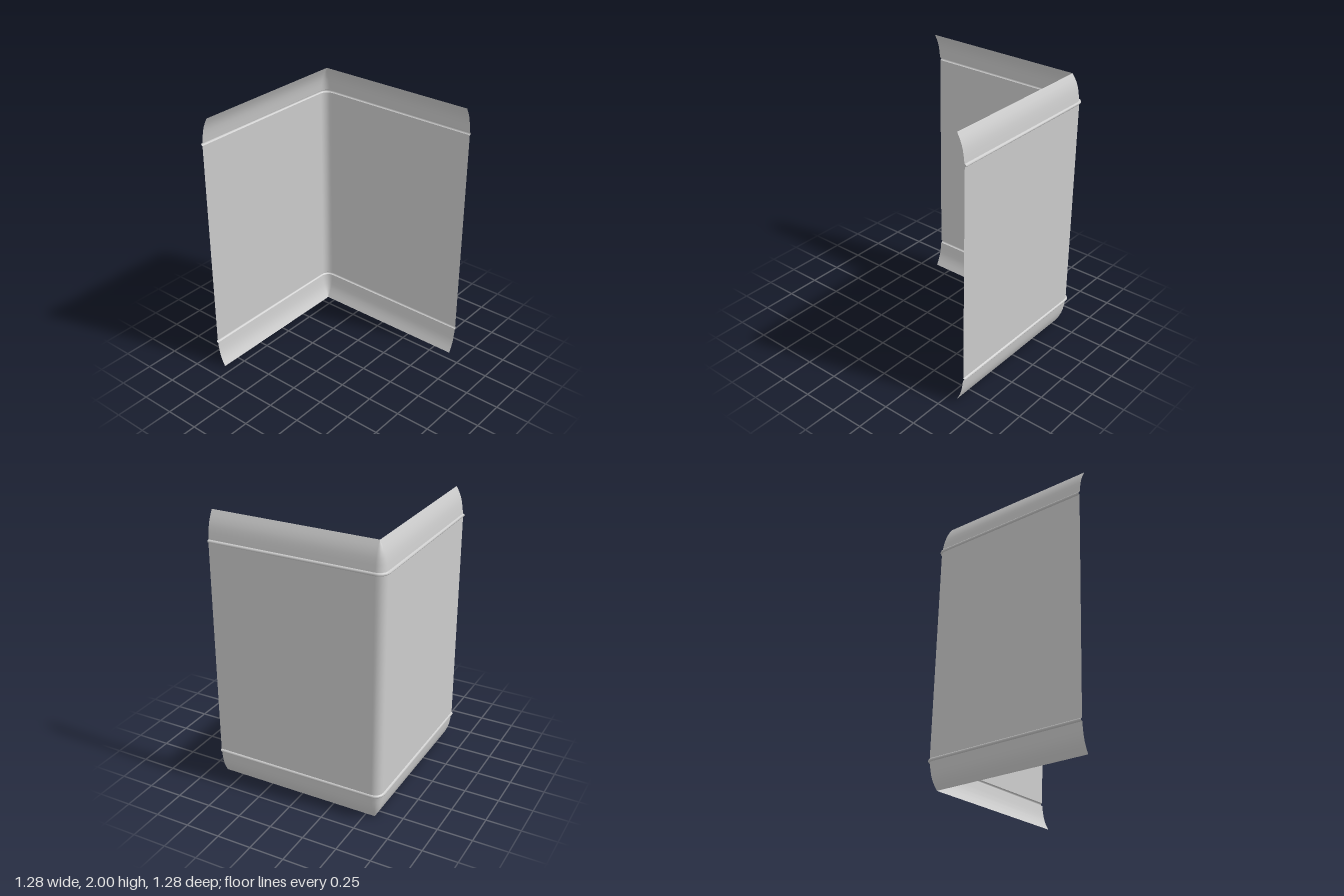
import * as THREE from 'three';

const END = 0.637;    // free ends of both walls
const CORNER = 0.565; // both walls bend around the vertical axis at (-CORNER, -CORNER)

// Plan of the L-shaped run for a given distance r outside the bend axis
function planPoints(r, arcSteps = 4) {
  const pts = [[-CORNER - r, END]];
  for (let i = 0; i <= arcSteps; i++) {
    const a = (i / arcSteps) * Math.PI / 2;
    pts.push([-CORNER - r * Math.cos(a), -CORNER - r * Math.sin(a)]);
  }
  pts.push([END, -CORNER - r]);
  return pts;
}

// Sweep a section of [outward distance, height] points (bottom to top) along the L
function sweep(section) {
  const pos = [], index = [];
  let n = 0;
  for (const [r, y] of section) {
    const plan = planPoints(r);
    n = plan.length;
    for (const [x, z] of plan) pos.push(x, y, z);
  }
  for (let j = 0; j < section.length - 1; j++) {
    for (let i = 0; i < n - 1; i++) {
      const a = j * n + i, b = a + 1, c = a + n, d = c + 1;
      index.push(a, c, b, b, c, d);
    }
  }
  const g = new THREE.BufferGeometry();
  g.setAttribute('position', new THREE.Float32BufferAttribute(pos, 3));
  g.setIndex(index);
  g.computeVertexNormals();
  return g;
}

export function createModel() {
  const group = new THREE.Group();
  const mat = new THREE.MeshStandardMaterial({ color: 0xcccccc, side: THREE.DoubleSide });
  const add = (name, section) => {
    const mesh = new THREE.Mesh(sweep(section), mat);
    mesh.name = name;
    group.add(mesh);
  };
  const flip = (section) => section.map(([r, y]) => [r, 2 - y]).reverse();

  // Flat walls meeting at the rounded corner
  add('wall', [[0.061, 0.212], [0.061, 1.788]]);

  // Curved lip leaning inward, and the small rounded bead next to the wall
  const lip = [[0.002, 0], [0.021, 0.035], [0.036, 0.07], [0.046, 0.105], [0.053, 0.145], [0.059, 0.19]];
  const bead = [[0.059, 0.19], [0.068, 0.193], [0.073, 0.201], [0.068, 0.209], [0.061, 0.212]];
  add('bottomLip', lip);
  add('bottomBead', bead);
  add('topLip', flip(lip));
  add('topBead', flip(bead));
  return group;
}
